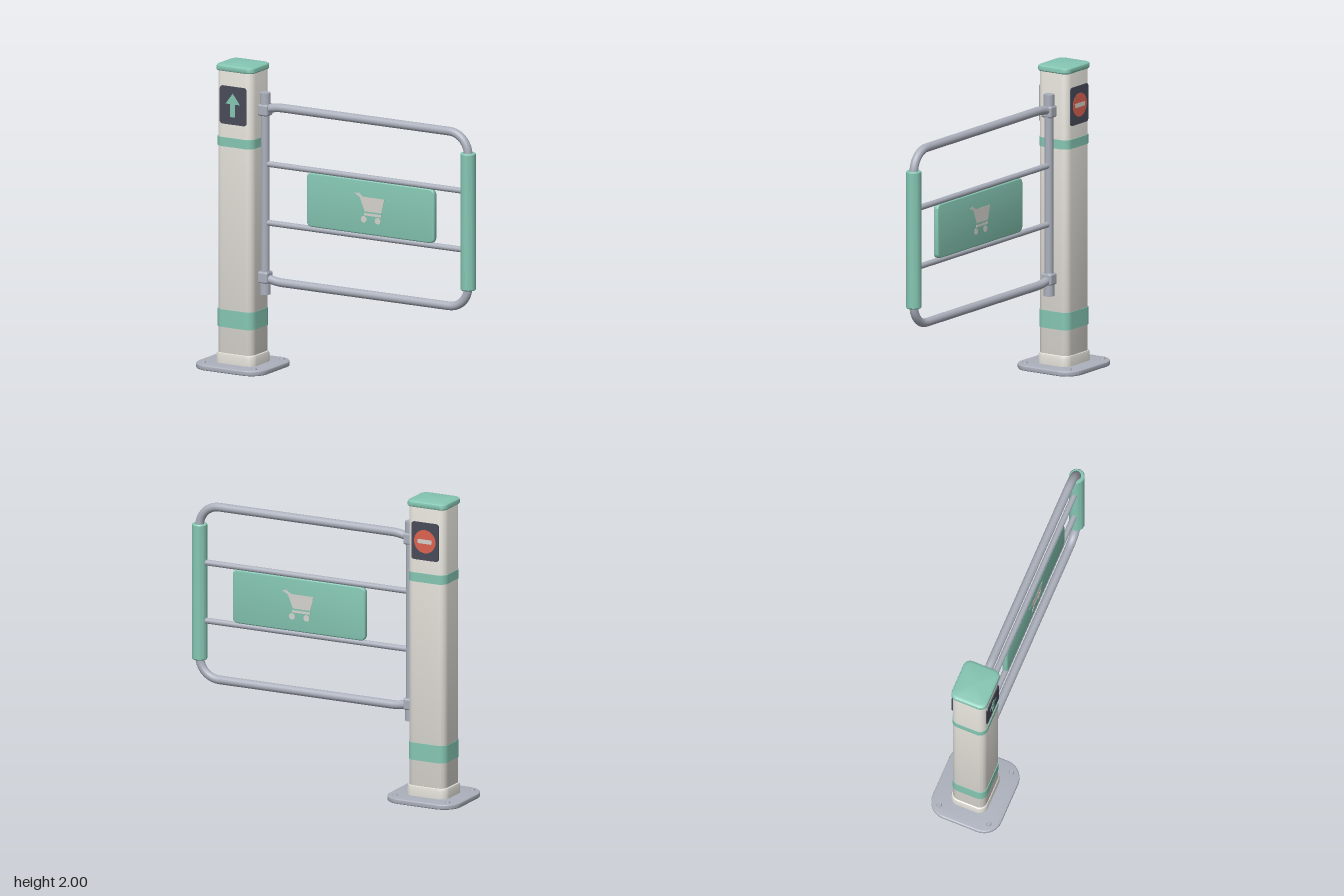
import * as THREE from 'three';
import { toCreasedNormals } from 'three/addons/utils/BufferGeometryUtils.js';
import { RoundedBoxGeometry } from 'three/addons/geometries/RoundedBoxGeometry.js';

const material = (name, color) => {
  const m = new THREE.MeshStandardMaterial({ color });
  m.name = name;
  return m;
};

// Rounded rectangle centred on the origin
function roundedRect(w, h, r) {
  const s = new THREE.Shape(), x = w / 2 - r, y = h / 2 - r;
  s.absarc(x, y, r, 0, Math.PI / 2);
  s.absarc(-x, y, r, Math.PI / 2, Math.PI);
  s.absarc(-x, -y, r, Math.PI, Math.PI * 1.5);
  s.absarc(x, -y, r, Math.PI * 1.5, Math.PI * 2);
  s.closePath();
  return s;
}

// Rounded slab of exact size w x h x d, lying in z from 0 to d
function slab(w, h, d, r, bevel = 0) {
  const g = new THREE.ExtrudeGeometry(roundedRect(w - 2 * bevel, h - 2 * bevel, r - bevel), {
    depth: d - 2 * bevel, bevelEnabled: bevel > 0, bevelSize: bevel,
    bevelThickness: bevel, bevelSegments: 3, curveSegments: 8,
  });
  g.translate(0, 0, bevel);
  return toCreasedNormals(g, 0.6);
}

// Upright slab standing from y0 to y1
const upright = (w, d, y0, y1, r, bevel = 0) =>
  slab(w, d, y1 - y0, r, bevel).rotateX(-Math.PI / 2).translate(0, y0, 0);

// Stack of rounded rectangles given as [y, scale]
function loft(w, d, r, rings) {
  const outline = roundedRect(w, d, r).getPoints(6);
  const n = outline.length, pos = [], idx = [];
  rings.forEach(([y, s]) => outline.forEach(p => pos.push(p.x * s, y, -p.y * s)));
  for (let k = 0; k < rings.length - 1; k++) {
    for (let i = 0; i < n; i++) {
      const a = k * n + i, b = k * n + (i + 1) % n;
      idx.push(a, b, b + n, a, b + n, a + n);
    }
  }
  const g = new THREE.BufferGeometry();
  g.setAttribute('position', new THREE.Float32BufferAttribute(pos, 3));
  g.setIndex(idx);
  return toCreasedNormals(g, 0.6);
}

const polygon = pts => new THREE.Shape(pts.map(p => new THREE.Vector2(...p)));
const plate = shapes => new THREE.ExtrudeGeometry(shapes, { depth: 0.003, bevelEnabled: false, curveSegments: 16 });

function disc(x, y, r) {
  const s = new THREE.Shape();
  s.absarc(x, y, r, 0, Math.PI * 2);
  return s;
}

export function createModel() {
  const cream = material('cream paint', 0xe0ddd6);
  const green = material('soft green', 0x85c6b2);
  const steel = material('steel', 0xabb0bc);
  const dark = material('dark display', 0x484c59);
  const red = material('signal red', 0xdc6250);
  const pale = material('pale sign', 0xd6d3ce);

  const model = new THREE.Group();
  model.name = 'entranceGate';
  const add = (parent, name, geometry, mat, x = 0, y = 0, z = 0) => {
    const m = new THREE.Mesh(geometry, mat);
    m.name = name;
    m.position.set(x, y, z);
    parent.add(m);
    return m;
  };

  // Post with base plate, collar, bands and cap
  const post = new THREE.Group();
  post.name = 'post';
  post.position.x = -0.741;
  model.add(post);
  add(post, 'basePlate', upright(0.516, 0.476, 0, 0.034, 0.12, 0.007), steel);
  for (const sx of [-1, 1]) for (const sz of [-1, 1]) {
    add(post, 'bolt', new THREE.CylinderGeometry(0.014, 0.018, 0.014, 16), steel, sx * 0.19, 0.039, sz * 0.171);
  }
  add(post, 'collar', loft(0.294, 0.248, 0.055, [[0.03, 1], [0.085, 1], [0.1, 0.97], [0.105, 0.9]]), cream);
  add(post, 'column', upright(0.27, 0.232, 0.03, 1.965, 0.05, 0.01), cream);
  add(post, 'lowerBand', upright(0.276, 0.24, 0.272, 0.387, 0.052), green);
  add(post, 'upperBand', upright(0.276, 0.24, 1.46, 1.52, 0.052), green);
  add(post, 'cap', loft(0.284, 0.246, 0.045, [
    [1.955, 0.01], [1.955, 0.97], [1.961, 1], [1.979, 1], [1.987, 0.985], [1.992, 0.94], [1.995, 0.85], [2, 0.001],
  ]), green);

  // Displays: arrow on the front, no-entry disc on the back
  const displays = ['frontDisplay', 'backDisplay'].map((name, i) => {
    const g = new THREE.Group();
    g.name = name;
    g.position.set(0, 1.735, 0);
    g.rotation.y = i * Math.PI;
    post.add(g);
    add(g, 'screen', slab(0.197, 0.25, 0.009, 0.02), dark, 0, 0, 0.114);
    return g;
  });
  add(displays[0], 'arrow', plate(polygon([
    [-0.018, -0.075], [0.018, -0.075], [0.018, 0.01], [0.053, 0.01], [0, 0.08], [-0.053, 0.01], [-0.018, 0.01],
  ])), green, 0, 0, 0.1225);
  add(displays[1], 'stopDisc', plate(disc(0, 0, 0.077)), red, 0, 0, 0.1225);
  add(displays[1], 'stopBar', plate(roundedRect(0.1, 0.028, 0.005)), pale, 0, 0, 0.125);

  // Hinge pipe with knuckles and clamps at both ends
  const hinge = new THREE.Group();
  hinge.name = 'hinge';
  hinge.position.x = -0.573;
  model.add(hinge);
  add(hinge, 'hingePipe', new THREE.CylinderGeometry(0.028, 0.028, 1.2, 24), steel, 0, 1.158, 0);
  for (const s of [-1, 1]) {
    add(hinge, 'knuckle', new THREE.CylinderGeometry(0.035, 0.035, 0.15, 24), steel, 0, 1.158 + s * 0.587, 0);
    add(hinge, 'clamp', new RoundedBoxGeometry(0.074, 0.078, 0.08, 3, 0.014), steel, 0, 1.158 + s * 0.55, 0);
  }

  // Swinging frame bent from one tube
  const gate = new THREE.Group();
  gate.name = 'gate';
  model.add(gate);
  const v = (x, y) => new THREE.Vector3(x, y, 0);
  const top = 1.732, low = 0.584, end = 0.949, R = 0.14, k = R * 0.448;
  const path = new THREE.CurvePath();
  path.add(new THREE.CubicBezierCurve3(v(-0.57, top - 0.016), v(-0.52, top - 0.012), v(-0.49, top), v(-0.45, top)));
  path.add(new THREE.LineCurve3(v(-0.45, top), v(end - R, top)));
  path.add(new THREE.CubicBezierCurve3(v(end - R, top), v(end - k, top), v(end, top - k), v(end, top - R)));
  path.add(new THREE.LineCurve3(v(end, top - R), v(end, low + R)));
  path.add(new THREE.CubicBezierCurve3(v(end, low + R), v(end, low + k), v(end - k, low), v(end - R, low)));
  path.add(new THREE.LineCurve3(v(end - R, low), v(-0.45, low)));
  path.add(new THREE.CubicBezierCurve3(v(-0.45, low), v(-0.49, low), v(-0.52, low + 0.012), v(-0.57, low + 0.016)));
  add(gate, 'frameTube', new THREE.TubeGeometry(path, 160, 0.028, 20), steel);

  // Padded grip sleeve
  const sleeve = [[0.02, -0.45], [0.045, -0.45], [0.05, -0.444], [0.05, 0.444], [0.045, 0.45], [0.02, 0.45]];
  add(gate, 'grip', toCreasedNormals(new THREE.LatheGeometry(sleeve.map(p => new THREE.Vector2(...p)), 28), 0.6),
    green, end, 1.156, 0);

  // Cross bars
  for (const y of [1.352, 0.966]) {
    add(gate, 'crossBar', new THREE.CylinderGeometry(0.019, 0.019, 1.5, 20).rotateZ(Math.PI / 2), steel, 0.18, y, 0);
  }

  // Sign panel with a trolley symbol on both faces
  const sign = new THREE.Group();
  sign.name = 'sign';
  sign.position.set(0.225, 1.159, 0);
  gate.add(sign);
  add(sign, 'signPanel', slab(0.956, 0.356, 0.036, 0.035, 0.009), green, 0, 0, -0.018);
  const trolley = [
    polygon([[-0.12, 0.088], [-0.086, 0.088], [-0.069, 0.069], [0.107, 0.069], [0.083, -0.025],
      [-0.042, -0.025], [-0.072, 0.052], [-0.097, 0.1], [-0.12, 0.1]].reverse()),
    polygon([[-0.047, -0.052], [0.084, -0.052], [0.084, -0.036], [-0.047, -0.036]]),
    disc(-0.048, -0.079, 0.021), disc(0.056, -0.079, 0.021),
  ];
  for (const turn of [0, Math.PI]) {
    const m = add(sign, 'trolleySymbol', plate(trolley).translate(0, 0, 0.0165), pale);
    m.rotation.y = turn;
  }
  return model;
}
